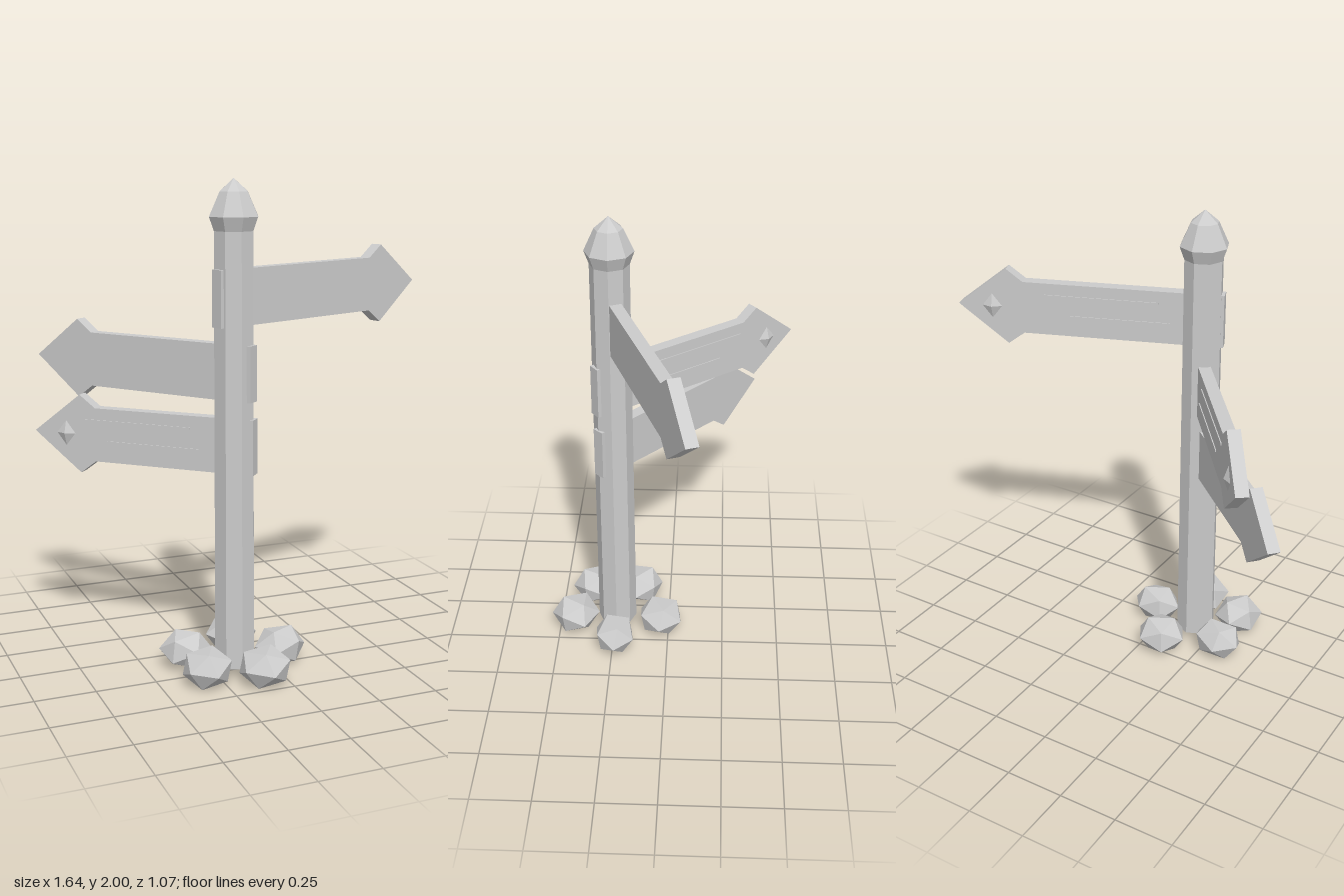
import * as THREE from 'three';

const THICK = 0.052;
const AXIS = [-0.155, 0.238];

export function createModel() {
  const model = new THREE.Group();
  const grey = new THREE.MeshStandardMaterial({ color: 0xcccccc, flatShading: true });
  grey.name = 'plain grey';

  const add = (parent, name, geometry, x = 0, y = 0, z = 0) => {
    const mesh = new THREE.Mesh(geometry, grey);
    mesh.name = name;
    mesh.position.set(x, y, z);
    parent.add(mesh);
    return mesh;
  };

  // Octagonal post and its pointed cap
  add(model, 'post', new THREE.CylinderGeometry(0.082, 0.086, 1.8, 8), AXIS[0], 0.93, AXIS[1]);
  const capProfile = [[0, 1.79], [0.082, 1.8], [0.102, 1.855], [0.058, 1.95], [0, 2]]
    .map(([r, y]) => new THREE.Vector2(r, y));
  add(model, 'postCap', new THREE.LatheGeometry(capProfile, 8), AXIS[0], 0, AXIS[1]);

  // Arrow boards run through the post; the carved face is on side +1 or -1
  const addSign = (name, y, length, degrees, side) => {
    const sign = new THREE.Group();
    sign.name = name;
    sign.position.set(AXIS[0], y, AXIS[1]);
    sign.rotation.y = THREE.MathUtils.degToRad(degrees);
    model.add(sign);

    const half = 0.1125, wide = 0.165;
    const outline = new THREE.Shape([
      [-0.09, -half], [length - 0.28, -half], [length - 0.21, -wide], [length, 0],
      [length - 0.21, wide], [length - 0.28, half], [-0.09, half],
    ].map(([px, py]) => new THREE.Vector2(px, py)));
    const board = new THREE.ExtrudeGeometry(outline, { depth: THICK, bevelEnabled: false });
    board.translate(0, 0, -THICK / 2);
    add(sign, 'arrowBoard', board);

    // Two wood grain lines
    const face = side * THICK / 2;
    for (const [from, to, h] of [[0.18, 0.66, 0.06], [0.13, 0.55, -0.026]]) {
      add(sign, 'grainLine', new THREE.BoxGeometry(to - from, 0.008, 0.008), (from + to) / 2, h, face);
    }

    // Faceted stud on the arrow head
    const stud = add(sign, 'stud', new THREE.OctahedronGeometry(1), length - 0.145, 0, face);
    stud.scale.set(0.042, 0.053, 0.018);
  };
  addSign('upperSign', 1.542, 1.03, 20.2, -1);
  addSign('middleSign', 1.246, 0.958, 127.8, 1);
  addSign('lowerSign', 0.95, 0.885, 137.3, -1);

  // Ring of stones around the foot: x, z, turn, width, depth
  const stones = [
    [-0.092, 0.035, 0.5, 1.05, 1],
    [-0.33, 0.13, 2.3, 1.05, 0.88],
    [-0.318, 0.352, 1.1, 1, 1],
    [-0.1, 0.428, 1.02, 1.05, 1.02],
    [0.048, 0.238, 0.55, 1.05, 0.88],
  ];
  for (const [x, z, turn, width, depth] of stones) {
    const rock = new THREE.IcosahedronGeometry(0.108, 0);
    rock.rotateX(0.15);
    rock.rotateY(turn);
    rock.scale(width, 0.8, depth);
    rock.computeBoundingBox();
    add(model, 'stone', rock, x, -rock.boundingBox.min.y + 0.003, z);
  }
  return model;
}
